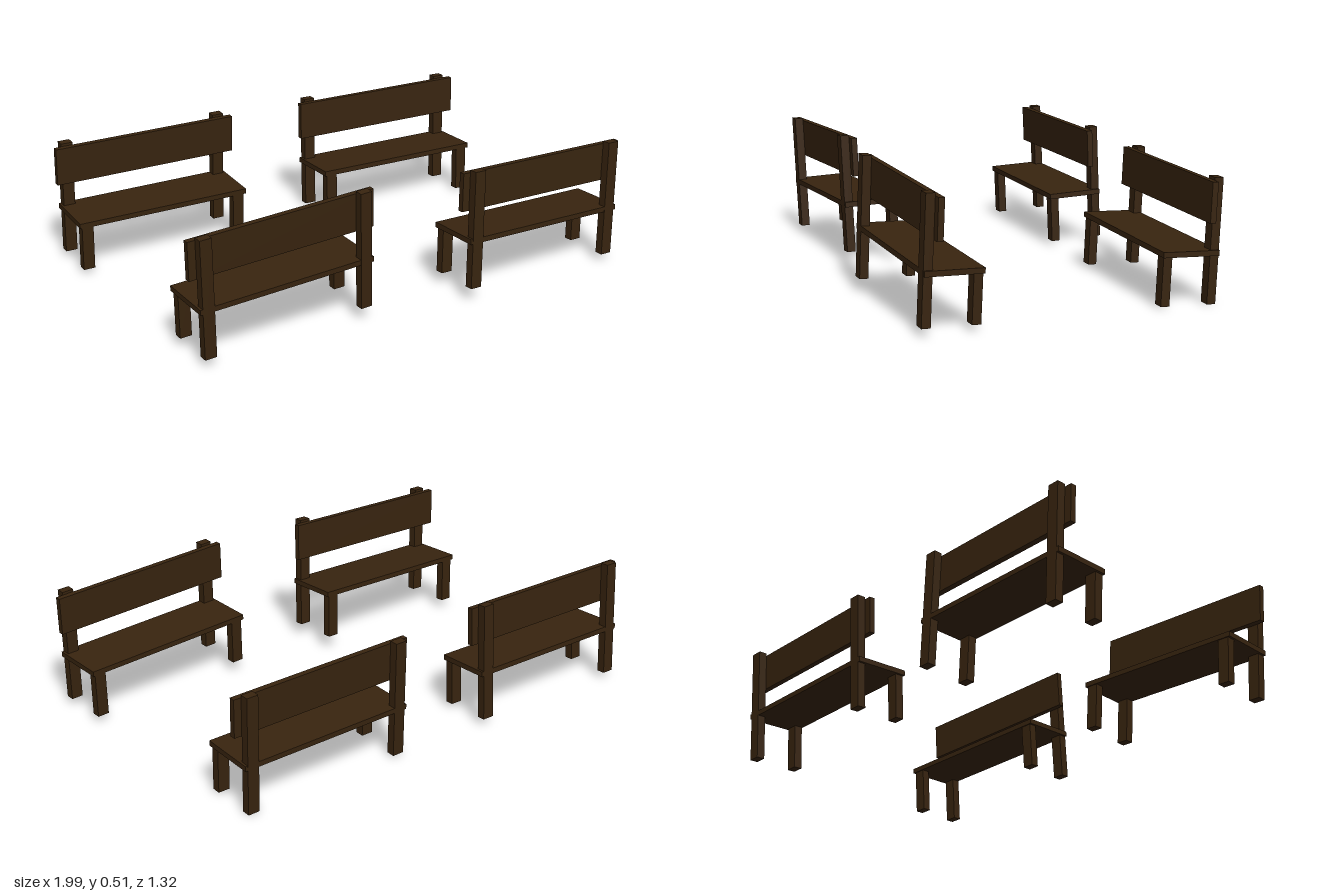
import * as THREE from 'three';

const SEAT_Y = 0.187; // height of the seat plank above the feet

const wood = new THREE.MeshStandardMaterial({ color: 0x38240f });
wood.name = 'darkWood';

// Box named by part; y values are measured from the feet
function plank(parent, name, w, d, y0, y1, x, z) {
  const mesh = new THREE.Mesh(new THREE.BoxGeometry(w, y1 - y0, d), wood);
  mesh.name = name;
  mesh.position.set(x, (y0 + y1) / 2 - SEAT_Y, z);
  parent.add(mesh);
}

// One bench facing +z, with its origin at the middle of the seat
function makeBench(name) {
  const bench = new THREE.Group();
  bench.name = name;
  plank(bench, 'seat', 0.704, 0.215, SEAT_Y - 0.01, SEAT_Y + 0.01, 0, 0);
  plank(bench, 'backrest', 0.745, 0.022, 0.298, 0.445, 0, -0.064);
  for (const [side, s] of [['left', 1], ['right', -1]]) {
    plank(bench, side + 'FrontLeg', 0.046, 0.033, 0, SEAT_Y, s * 0.32, 0.087);
    plank(bench, side + 'BackPost', 0.046, 0.033, 0, 0.455, s * 0.32, -0.092);
  }
  return bench;
}

export function createModel() {
  const model = new THREE.Group();
  model.name = 'benches';
  // Two facing rows, each bench slightly tilted as on uneven ground
  const layout = [
    { name: 'backRightBench', at: [-0.6225, 0.024, -0.395], yaw: 0.107, pitch: 0.045, roll: 0 },
    { name: 'backLeftBench', at: [0.4375, 0.01, -0.5075], yaw: 0.115, pitch: -0.037, roll: -0.014 },
    { name: 'frontRightBench', at: [-0.471, 0.047, 0.4825], yaw: Math.PI + 0.158, pitch: -0.035, roll: -0.033 },
    { name: 'frontLeftBench', at: [0.606, 0.04, 0.3875], yaw: Math.PI + 0.165, pitch: 0.03, roll: 0.034 },
  ];
  for (const { name, at, yaw, pitch, roll } of layout) {
    const bench = makeBench(name);
    bench.position.set(at[0], at[1] + SEAT_Y, at[2]);
    bench.rotation.set(pitch, yaw, roll, 'YXZ');
    model.add(bench);
  }
  return model;
}
